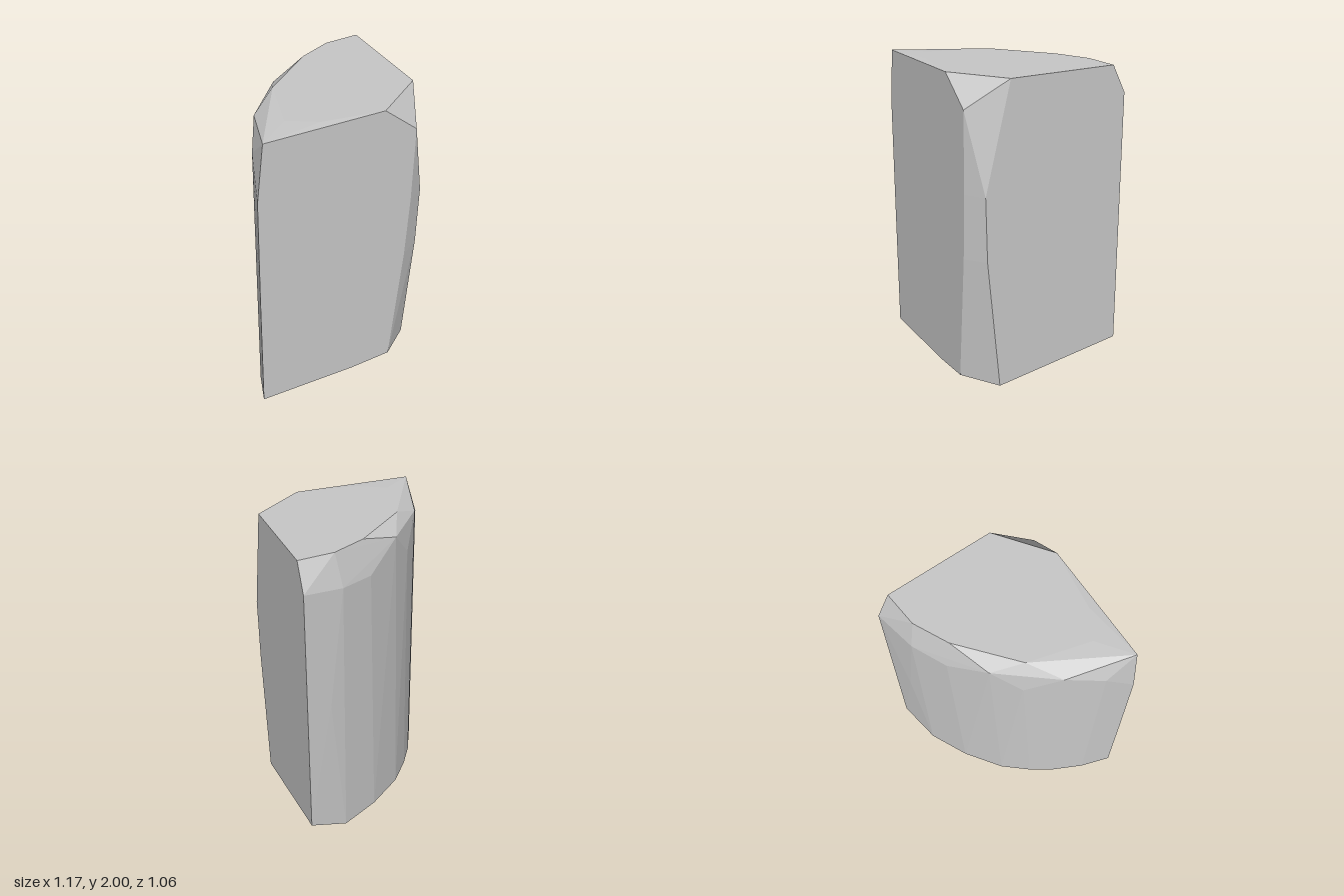
import * as THREE from 'three';
import { ConvexGeometry } from 'three/addons/geometries/ConvexGeometry.js';

export function createModel() {
  const group = new THREE.Group();
  group.name = 'stonePillar';
  const stone = new THREE.MeshStandardMaterial({ color: 0xc8c8c8 });
  stone.name = 'paleGreyStone';

  // flat top outline, dipping slightly at the front left tip
  const top = [
    [0.585, 2, -0.44], [0.35, 2, -0.42], [0.13, 2, -0.315], [-0.22, 2, -0.025],
    [-0.33, 2, 0.37], [-0.15, 2, 0.475], [-0.54, 1.99, 0.53], [0.245, 2, 0.53], [0.585, 2, 0.28],
  ];
  // uneven shoulder along the curved back
  const shoulder = [
    [0.585, 1.82, -0.53], [0.32, 1.787, -0.47], [0.1, 1.777, -0.365], [-0.13, 1.925, -0.215],
    [-0.275, 1.745, -0.075], [-0.41, 1.925, 0.115], [-0.525, 1.82, 0.34], [-0.583, 1.6, 0.53],
  ];
  // slight bulge halfway up the curve
  const waist = [[0.42, 1, -0.5], [-0.587, 0.85, 0.53]];
  // worn corner between the two straight faces
  const corner = [
    [0.47, 1.82, 0.53], [0.465, 1.3, 0.53], [0.445, 0.87, 0.53], [0.37, 0.02, 0.53],
    [0.585, 1.3, 0.45], [0.585, 0.88, 0.44], [0.585, 0, 0.355],
  ];
  // foot, chipped at the back corner
  const foot = [
    [0.585, 0.12, -0.53], [0.32, 0, -0.47], [0.06, 0, -0.345], [-0.18, 0, -0.175],
    [-0.32, 0, -0.015], [-0.42, 0, 0.13], [-0.522, 0, 0.33], [-0.588, 0, 0.53], [0.08, 0, 0.53],
  ];

  const points = [top, shoulder, waist, corner, foot].flat().map((p) => new THREE.Vector3(...p));
  const pillar = new THREE.Mesh(new ConvexGeometry(points), stone);
  pillar.name = 'pillarBlock';
  group.add(pillar);
  return group;
}
